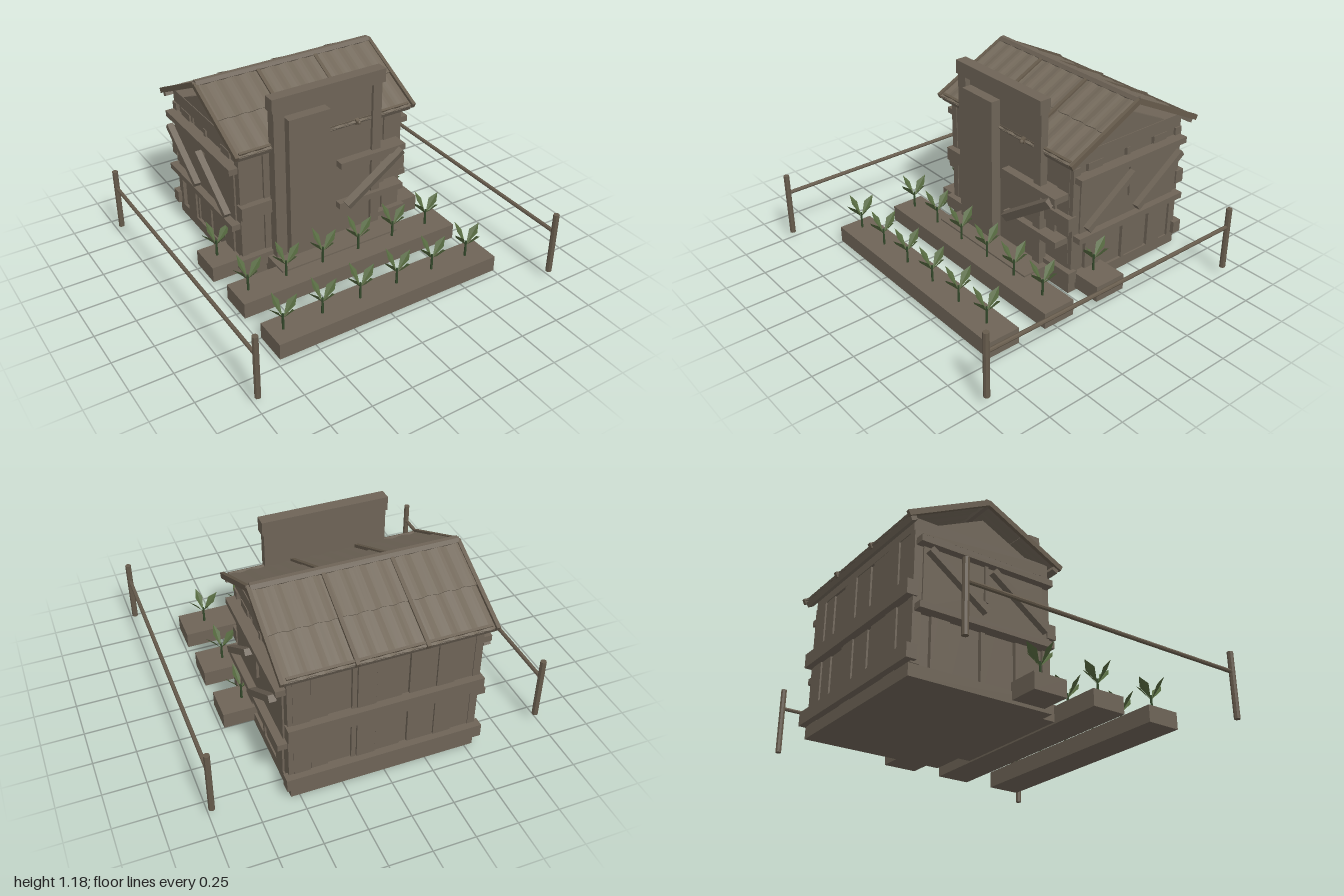
import * as THREE from 'three';

const mat = (name, color, side = THREE.FrontSide) => {
  const m = new THREE.MeshStandardMaterial({ color, side, flatShading: true });
  m.name = name;
  return m;
};

export function createModel() {
  const model = new THREE.Group();
  const wood = mat('weathered wood', 0x6e6457);
  const pole = mat('pole wood', 0x665b4c);
  const sheet = mat('roof sheet', 0x72685a);
  const leafGreen = mat('leaf green', 0x55693f, THREE.DoubleSide);
  const stemGreen = mat('stem green', 0x34492b);

  const add = (parent, name, geo, m) => {
    const mesh = new THREE.Mesh(geo, m);
    mesh.name = name;
    parent.add(mesh);
    return mesh;
  };
  // box given by its limits on each axis
  const box = (name, x0, x1, y0, y1, z0, z1, parent = model, m = wood) => {
    const b = add(parent, name, new THREE.BoxGeometry(x1 - x0, y1 - y0, z1 - z0), m);
    b.position.set((x0 + x1) / 2, (y0 + y1) / 2, (z0 + z1) / 2);
    return b;
  };
  // round pole between two points
  const rod = (name, a, b, r, parent = model, m = pole, sides = 8) => {
    const p = new THREE.Vector3(...a), q = new THREE.Vector3(...b);
    const d = q.clone().sub(p);
    const c = add(parent, name, new THREE.CylinderGeometry(r, r, d.length(), sides), m);
    c.position.copy(p).add(q).multiplyScalar(0.5);
    c.quaternion.setFromUnitVectors(new THREE.Vector3(0, 1, 0), d.normalize());
    return c;
  };

  // hut body
  box('foundation', -0.55, 0.55, 0, 0.07, -0.89, -0.01);
  box('hutCore', -0.525, 0.525, 0.07, 0.82, -0.86, -0.04);
  box('wallPlate', -0.545, 0.545, 0.81, 0.89, -0.88, -0.015);

  // vertical planks, alternating in depth
  const cuts = [-0.53, -0.4, -0.29, -0.13, -0.09, 0.06, 0.17, 0.2, 0.33, 0.43, 0.53];
  for (let i = 0; i < cuts.length - 1; i++) {
    const d = [0, 0.008, 0.003, -0.009][i % 4];
    box('frontPlank', cuts[i], cuts[i + 1] - 0.004, 0.07, 0.81, -0.05, -0.025 + d);
    box('backPlank', cuts[i], cuts[i + 1] - 0.004, 0.07, 0.81, -0.875 - d, -0.85);
  }
  const sideCuts = [-0.84, -0.76, -0.65, -0.63, -0.46, -0.43, -0.27, -0.245, -0.13, -0.05];
  for (const s of [-1, 1]) {
    const side = new THREE.Group();
    side.name = s > 0 ? 'leftWall' : 'rightWall';
    if (s < 0) {
      side.rotation.y = Math.PI;
      side.position.z = -0.9;
    }
    model.add(side);
    for (let i = 0; i < sideCuts.length - 1; i++) {
      const d = [0, 0.01, -0.008][i % 3];
      box('sidePlank', 0.51, 0.54 + d, 0.07, 0.81, sideCuts[i], sideCuts[i + 1] - 0.004, side);
    }
    // corner posts, window frame and braces
    for (const z of [-0.855, -0.045]) box('cornerPost', 0.51, 0.555, 0.07, 0.81, z - 0.025, z + 0.025, side);
    for (const y of [0.35, 0.725]) box('windowRail', 0.54, 0.61, y, y + 0.038, -0.87, -0.03, side);
    box('shutterPanel', 0.54, 0.565, 0.38, 0.73, -0.83, -0.07, side);
    box('windowMullion', 0.55, 0.58, 0.51, 0.73, -0.46, -0.44, side);
  }
  // side braces lean the same way in world space on both walls
  for (const s of [-1, 1]) for (const z of [-0.257, -0.647]) {
    const brace = add(model, 'sideBrace', new THREE.BoxGeometry(0.04, 0.038, 0.43), wood);
    brace.position.set(s * 0.612, 0.56, z);
    brace.rotation.x = 0.615;
  }

  // horizontal rails on front and back
  for (const [y0, y1, x] of [[0.08, 0.16, 0.58], [0.43, 0.515, 0.565]]) {
    box('frontRail', -x, x, y0, y1, -0.04, 0.018);
    box('backRail', -x, x, y0, y1, -0.92, -0.86);
  }

  // gable triangles
  const tri = new THREE.Shape([[-0.29, 0], [0.29, 0], [0, 0.14]].map(p => new THREE.Vector2(...p)));
  const gableGeo = new THREE.ExtrudeGeometry(tri, { depth: 0.03, bevelEnabled: false });
  for (const s of [-1, 1]) {
    const g = add(model, 'gable', gableGeo, wood);
    g.rotation.y = Math.PI / 2;
    g.position.set(s > 0 ? 0.51 : -0.54, 0.89, -0.45);
  }

  // roof slopes: rippled sheets in two courses, poles along seams and eaves
  const slope = 0.464, len = 0.555;
  const roof = new THREE.Group();
  roof.name = 'roof';
  model.add(roof);
  for (const turn of [0, Math.PI]) {
    const outer = new THREE.Group();
    outer.name = turn ? 'backSlope' : 'frontSlope';
    outer.position.set(0, 1.115, -0.45);
    outer.rotation.y = turn;
    const plane = new THREE.Group();
    plane.name = 'slopePlane';
    plane.rotation.x = slope;
    outer.add(plane);
    roof.add(outer);
    for (let c = 0; c < 3; c++) for (let r = 0; r < 2; r++) {
      const geo = new THREE.BoxGeometry(0.385, 0.006, 0.285, 20, 1, 1);
      const p = geo.attributes.position;
      for (let i = 0; i < p.count; i++) {
        const w = Math.sin(p.getX(i) * 60 + c * 2 + r);
        p.setY(i, p.getY(i) + 0.004 * w);
        if (p.getZ(i) > 0) p.setZ(i, p.getZ(i) + 0.005 * w);
      }
      geo.computeVertexNormals();
      const m = add(plane, 'roofSheet', geo, sheet);
      m.position.set((c - 1) * 0.394, 0.003 - r * 0.007, 0.14 + r * 0.265);
    }
    for (const x of [-0.592, -0.193, 0.197, 0.597]) {
      const bx = turn ? -x : x;
      box('seamPole', bx - 0.011, bx + 0.011, -0.018, 0.014, 0, len, plane, pole);
    }
    box('eaveBeam', -0.59, 0.59, -0.042, -0.012, len - 0.045, len - 0.008, plane);
    box('eaveBatten', -0.57, 0.57, -0.005, 0.009, len - 0.035, len - 0.02, plane, pole);
  }
  rod('ridgePole', [-0.59, 1.115, -0.45], [0.59, 1.115, -0.45], 0.025, roof, wood, 6);

  // entrance: tall frame, door leaf, step
  box('entranceBack', -0.36, 0.35, 0.13, 1.1, 0, 0.03);
  box('lintel', -0.38, 0.37, 1.095, 1.18, -0.005, 0.068);
  box('jamb', -0.37, -0.3, 0.13, 1.095, 0, 0.063);
  box('jamb', 0.3, 0.36, 0.13, 1.095, 0, 0.05);
  box('door', -0.29, -0.02, 0.13, 1.04, 0.03, 0.093);
  const knob = add(model, 'knob', new THREE.SphereGeometry(0.012, 8, 6), pole);
  knob.position.set(0.2, 0.87, 0.055);
  box('step', -0.41, 0.4, 0.03, 0.13, 0.0, 0.195);

  // boarded front window
  box('windowBoard', 0.06, 0.52, 0.61, 0.65, -0.03, 0.085);
  box('windowBoard', 0.06, 0.52, 0.325, 0.365, -0.03, 0.075);
  box('windowPanel', 0.36, 0.43, 0.36, 0.62, -0.03, 0.0);
  const bar = add(model, 'diagonalBar', new THREE.BoxGeometry(0.47, 0.05, 0.045), wood);
  bar.position.set(0.295, 0.485, 0.088);
  bar.rotation.set(0.35, 0, 0.61, 'ZXY');

  // folded leaf: base, two shoulders, tip
  const leafGeo = new THREE.BufferGeometry();
  leafGeo.setAttribute('position', new THREE.Float32BufferAttribute([
    0.004, 0, 0, 0.065, 0.065, 0.026, 0.1, 0.11, 0,
    0.004, 0, 0, 0.1, 0.11, 0, 0.05, 0.075, -0.026], 3));
  leafGeo.computeVertexNormals();
  const stemGeo = new THREE.CylinderGeometry(0.006, 0.008, 0.11, 6);

  // planting beds with rows of seedlings
  for (const z of [0.62, 0.225, -0.165]) {
    box('bed', -0.735, 0.735, 0.02, 0.12, z - 0.105, z + 0.105);
    for (let i = 0; i < 6; i++) {
      const plant = new THREE.Group();
      plant.name = 'seedling';
      plant.position.set(-0.653 + i * 0.249, 0.12, z);
      model.add(plant);
      add(plant, 'stem', stemGeo, stemGreen).position.y = 0.05;
      for (let k = 0; k < 4; k++) {
        const leaf = add(plant, 'leaf', leafGeo, leafGreen);
        leaf.position.y = 0.08;
        leaf.rotation.y = 0.15 + k * Math.PI / 2;
      }
    }
  }

  // side fences
  for (const x of [-0.982, 0.982]) {
    for (const z of [0.93, -0.855]) rod('fencePost', [x, 0.05, z], [x, 0.45, z], 0.018);
    rod('fenceRail', [x, 0.33, -0.855], [x, 0.33, 0.93], 0.012);
  }
  return model;
}
